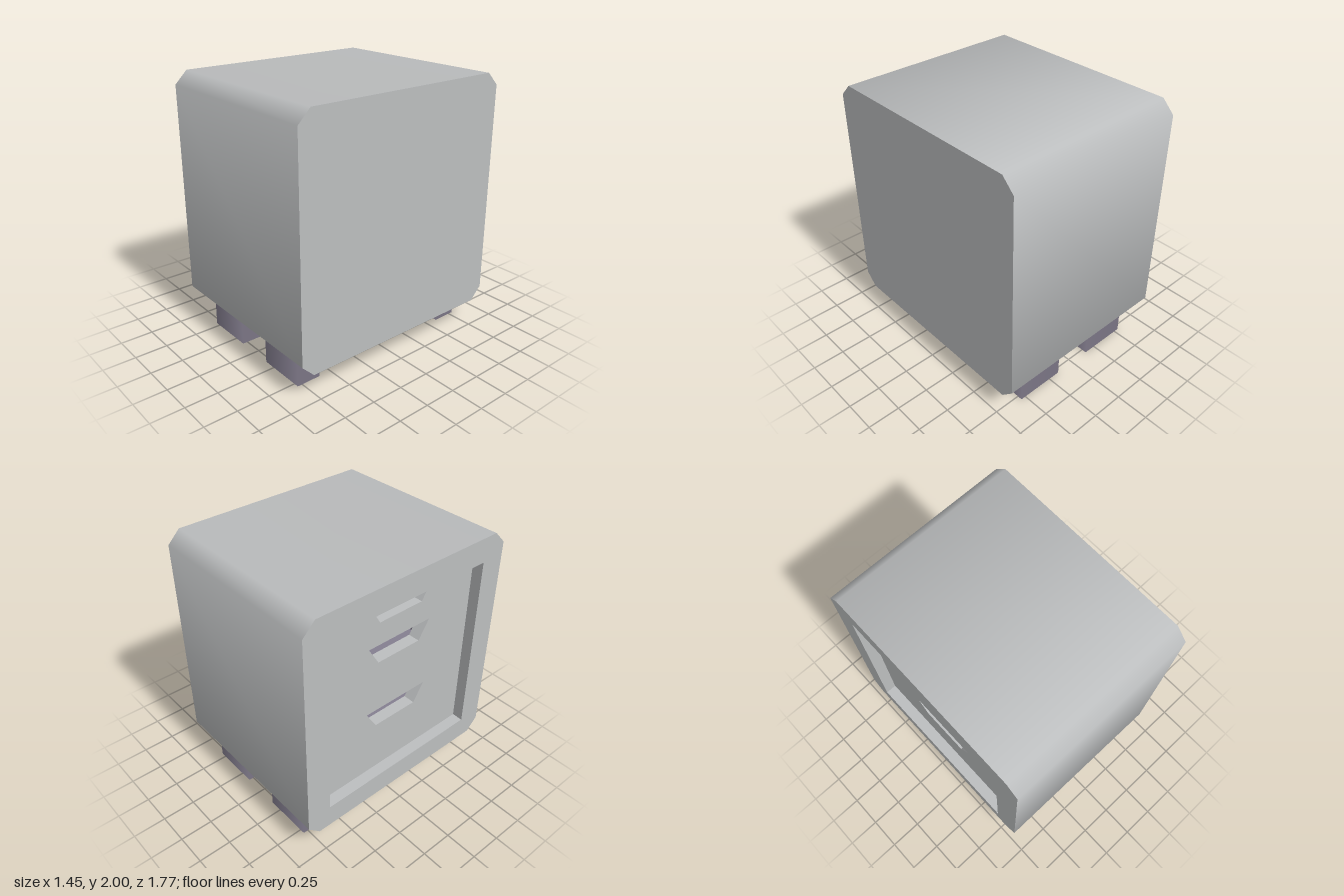
import * as THREE from 'three';

const V = (x, y) => new THREE.Vector2(x, y);
const rect = (x0, x1, y0, y1) => [V(x0, y0), V(x1, y0), V(x1, y1), V(x0, y1)];

// Side walls swept along z from a loop: outward for counter-clockwise, inward for clockwise
function band(points, z0, z1, smooth) {
  const n = points.length;
  const edgeNormal = (i) => {
    const a = points[(i + n) % n], b = points[(i + 1) % n];
    return V(b.y - a.y, a.x - b.x).normalize();
  };
  const pos = [], nor = [];
  for (let i = 0; i < n; i++) {
    const a = points[i], b = points[(i + 1) % n], e = edgeNormal(i);
    const na = smooth ? edgeNormal(i - 1).add(e).normalize() : e;
    const nb = smooth ? edgeNormal(i + 1).add(e).normalize() : e;
    const corners = [[a, z0, na], [b, z0, nb], [b, z1, nb], [a, z0, na], [b, z1, nb], [a, z1, na]];
    for (const [p, z, m] of corners) {
      pos.push(p.x, p.y, z);
      nor.push(m.x, m.y, 0);
    }
  }
  const g = new THREE.BufferGeometry();
  g.setAttribute('position', new THREE.Float32BufferAttribute(pos, 3));
  g.setAttribute('normal', new THREE.Float32BufferAttribute(nor, 3));
  return g;
}

export function createModel() {
  const model = new THREE.Group();
  const grey = new THREE.MeshStandardMaterial({ name: 'light grey', color: 0xbcbebf });
  const purple = new THREE.MeshStandardMaterial({ name: 'dusty purple', color: 0x857f90 });
  const lining = new THREE.MeshStandardMaterial({ name: 'drawer lining', color: 0x857f90, side: THREE.BackSide });

  const add = (parent, name, geometry, material) => {
    const mesh = new THREE.Mesh(geometry, material);
    mesh.name = name;
    parent.add(mesh);
    return mesh;
  };

  // Cabinet: profile drawn in (z, y), swept along x; the drawer side faces -x
  const cabinet = new THREE.Group();
  cabinet.name = 'cabinet';
  cabinet.rotation.y = -Math.PI / 2;
  model.add(cabinet);

  const H = 0.727, Z = 0.883, B = 0.195, T = 2, C = 0.095;
  const profile = [
    V(-Z + C, B), V(Z - C, B), V(Z, B + C), V(Z, T - C),
    V(Z - C, T), V(-Z + C, T), V(-Z, T - C), V(-Z, B + C),
  ];
  const W = 0.69, low = 0.375, high = 1.81;
  const opening = rect(-W, W, low, high).reverse();

  add(cabinet, 'casing', band(profile, -H, H, true), grey);
  add(cabinet, 'blankSide', new THREE.ShapeGeometry(new THREE.Shape(profile)).rotateY(Math.PI).translate(0, 0, -H), grey);
  const frame = new THREE.Shape(profile);
  frame.holes.push(new THREE.Path(opening));
  add(cabinet, 'drawerFrame', new THREE.ShapeGeometry(frame).translate(0, 0, H), grey);
  add(cabinet, 'recessWalls', band(opening, 0.55, H, false), grey);

  // Drawer fronts: flush panel with a tapered finger cut at the top of each drawer
  const tops = [high, 1.49, 0.93];
  const cut = (y) => [V(-0.28, y), V(-0.19, y - 0.143), V(0.19, y - 0.143), V(0.28, y)];
  const panel = new THREE.Shape([V(-W, high), V(-W, low), V(W, low), V(W, high), ...cut(high).reverse()]);
  for (const y of tops.slice(1)) panel.holes.push(new THREE.Path(cut(y)));
  add(cabinet, 'drawerFronts',
    new THREE.ExtrudeGeometry(panel, { depth: 0.09, bevelEnabled: false }).translate(0, 0, 0.55), grey);

  // Hollow drawer interiors seen through the finger cuts
  tops.forEach((top, i) => {
    const bottom = tops[i + 1] ?? low;
    add(cabinet, 'drawerInterior', new THREE.BoxGeometry(2 * W, top - bottom, 1.15), lining)
      .position.set(0, (top + bottom) / 2, -0.025);
  });

  // Four block feet with softened sides
  const footLoop = rect(-0.192, 0.192, -0.095, 0.095);
  for (const sx of [-1, 1]) for (const sz of [-1, 1]) {
    const foot = new THREE.Group();
    foot.name = 'foot';
    foot.rotation.x = Math.PI / 2;
    foot.position.set(sx * 0.347, 0.2, sz * 0.693);
    add(foot, 'footSides', band(footLoop, 0, 0.2, true), purple);
    add(foot, 'footSole', new THREE.ShapeGeometry(new THREE.Shape(footLoop)).translate(0, 0, 0.2), purple);
    model.add(foot);
  }
  return model;
}
